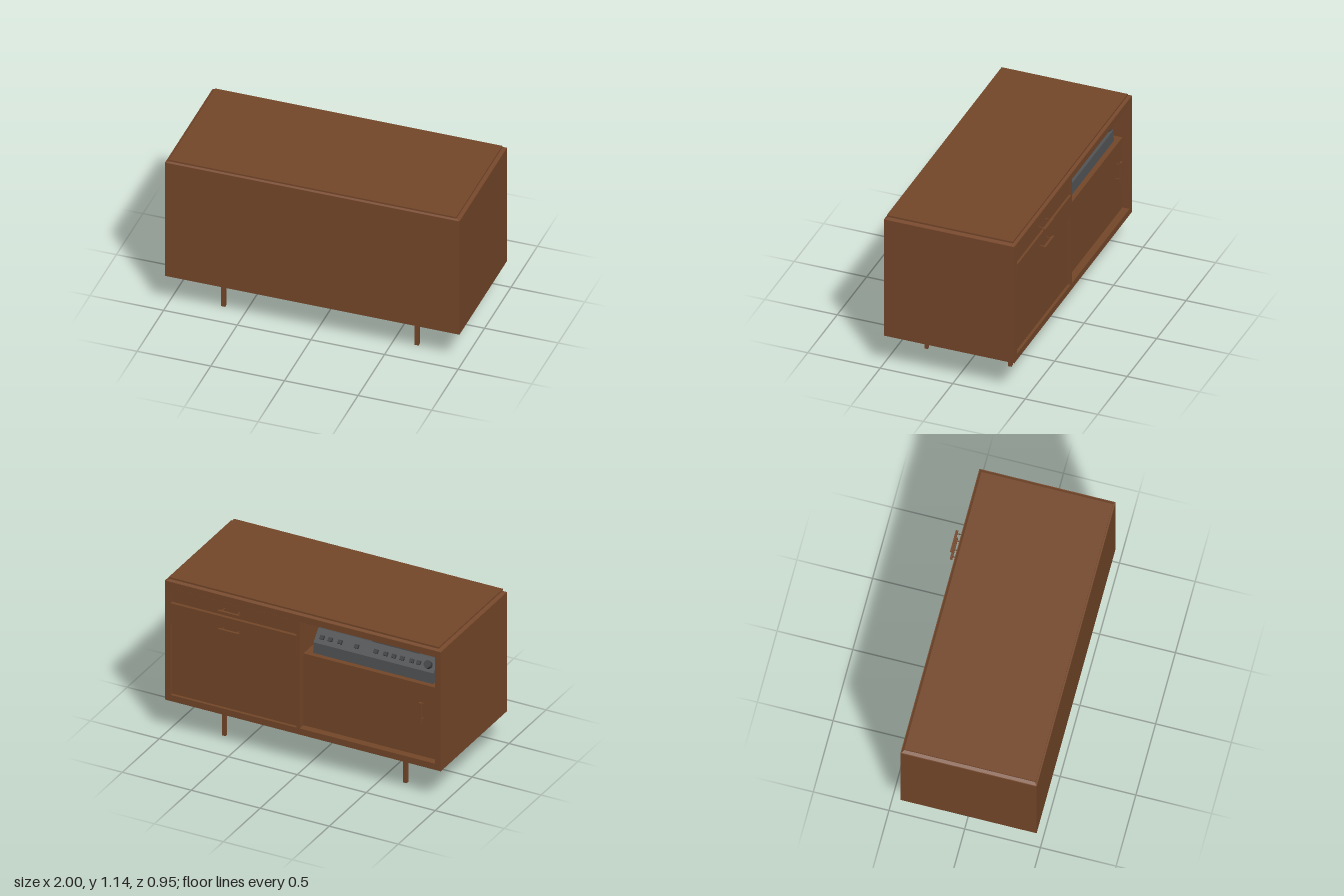
import * as THREE from 'three';

const wood = new THREE.MeshStandardMaterial({ color: 0x75472a });
const grey = new THREE.MeshStandardMaterial({ color: 0x505254, flatShading: true });
const dark = new THREE.MeshStandardMaterial({ color: 0x3a3c3e, flatShading: true });

// Box given by its limits on each axis
function box(parent, name, [x0, x1], [y0, y1], [z0, z1], material = wood) {
  const mesh = new THREE.Mesh(new THREE.BoxGeometry(x1 - x0, y1 - y0, z1 - z0), material);
  mesh.position.set((x0 + x1) / 2, (y0 + y1) / 2, (z0 + z1) / 2);
  mesh.name = name;
  parent.add(mesh);
  return mesh;
}

// Side profile of [z, y] points, extruded along x from x0 to x1
function profile(parent, name, points, x0, x1, material) {
  const shape = new THREE.Shape(points.map(([z, y]) => new THREE.Vector2(-z, y)));
  const geometry = new THREE.ExtrudeGeometry(shape, { depth: x1 - x0, bevelEnabled: false });
  geometry.rotateY(Math.PI / 2).translate(x0, 0, 0);
  const mesh = new THREE.Mesh(geometry, material);
  mesh.name = name;
  parent.add(mesh);
}

// Bar handle on two posts, lying along x
function barHandle(name, length, thick, reach) {
  const handle = new THREE.Group();
  handle.name = name;
  const h = length / 2, t = thick / 2;
  box(handle, 'handleBar', [-h, h], [-t, t], [-reach, -reach + 0.016]);
  for (const s of [-1, 1]) {
    const x = s * (h - 0.02);
    box(handle, 'handlePost', [x - 0.003, x + 0.003], [-0.003, 0.003], [-reach + 0.016, 0]);
  }
  return handle;
}

function buildCarcass() {
  const g = new THREE.Group();
  g.name = 'carcass';
  const depth = [-0.425, 0.475];
  for (const s of [-1, 1]) {
    box(g, 'sidePanel', s < 0 ? [-1, -0.957] : [0.957, 1], [0.25, 1.12], depth);
  }
  box(g, 'bottomPanel', [-0.957, 0.957], [0.25, 0.295], depth);
  box(g, 'topPanel', [-0.957, 0.957], [1.075, 1.12], depth);
  box(g, 'closedPanel', [-0.957, 0.957], [0.295, 1.075], [0.455, 0.475]);
  box(g, 'divider', [0.022, 0.045], [0.295, 1.075], [-0.425, 0.455]);

  // Chamfer above the carcass, narrowing toward the lid
  const chamfer = box(g, 'topChamfer', [-0.995, 0.995], [1.12, 1.13], [-0.42, 0.472]);
  const p = chamfer.geometry.attributes.position;
  for (let i = 0; i < p.count; i++) {
    if (p.getY(i) > 0) p.setXYZ(i, p.getX(i) * 0.975, p.getY(i), p.getZ(i) * 0.96);
  }
  chamfer.geometry.computeVertexNormals();
  box(g, 'lid', [-0.975, 0.975], [1.13, 1.142], [-0.405, 0.465]);
  return g;
}

function buildFronts() {
  const g = new THREE.Group();
  g.name = 'drawersAndDoors';
  box(g, 'upperDrawer', [0.047, 0.955], [0.975, 1.07], [-0.418, 0.42]);
  box(g, 'lowerDrawer', [0.047, 0.957], [0.82, 0.968], [-0.429, 0.42]);
  box(g, 'fixedDoor', [0.045, 0.957], [0.295, 0.82], [-0.405, -0.38]);
  box(g, 'slidingDoor', [-0.957, 0.022], [0.295, 0.82], [-0.375, -0.35]);
  box(g, 'shelf', [-0.957, 0.022], [0.795, 0.82], [-0.35, 0.455]);

  const upper = barHandle('upperDrawerHandle', 0.15, 0.012, 0.055);
  upper.position.set(0.515, 1.026, -0.418);
  const lower = barHandle('lowerDrawerHandle', 0.15, 0.018, 0.045);
  lower.position.set(0.515, 0.89, -0.429);
  const door = barHandle('doorHandle', 0.15, 0.018, 0.045);
  door.rotation.z = Math.PI / 2;
  door.position.set(-0.845, 0.63, -0.375);
  g.add(upper, lower, door);
  return g;
}

// Desktop console standing on the shelf
function buildConsole() {
  const g = new THREE.Group();
  g.name = 'console';
  profile(g, 'consoleBody', [[-0.34, 0.82], [0.2, 0.82], [0.2, 0.97], [-0.27, 0.97], [-0.335, 0.895]],
    -0.9, -0.03, grey);
  // Raised tilted panels on the console top
  profile(g, 'tiltedPanel', [[-0.27, 0.97], [0.02, 0.97], [0.02, 1.045], [-0.1, 1.045]], -0.76, -0.42, dark);
  profile(g, 'tiltedPanel', [[-0.25, 0.97], [0.02, 0.97], [0.02, 1.02], [-0.13, 1.02]], -0.38, -0.12, dark);

  // Keys and one round knob along the sloping front
  const tilt = Math.atan2(0.065, 0.075);
  for (const x of [-0.08, -0.14, -0.21, -0.33, -0.47, -0.54, -0.6, -0.66, -0.73, -0.78]) {
    const key = box(g, 'key', [x - 0.014, x + 0.014], [0.917, 0.943], [-0.321, -0.297], dark);
    key.rotation.x = tilt;
  }
  const knob = new THREE.Mesh(new THREE.CylinderGeometry(0.026, 0.026, 0.04, 16), dark);
  knob.name = 'knob';
  knob.rotation.x = tilt - Math.PI / 2;
  knob.position.set(-0.85, 0.935, -0.312);
  g.add(knob);
  return g;
}

function buildBase() {
  const g = new THREE.Group();
  g.name = 'base';
  box(g, 'plinth', [-0.67, 0.67], [0.155, 0.25], [-0.27, 0.33]);
  for (const x of [-0.67, 0.643]) {
    for (const z of [-0.27, 0.307]) {
      box(g, 'leg', [x, x + 0.027], [0, 0.155], [z, z + 0.023]);
    }
  }
  return g;
}

export function createModel() {
  const model = new THREE.Group();
  model.name = 'sideboard';
  model.add(buildCarcass(), buildFronts(), buildConsole(), buildBase());
  return model;
}
